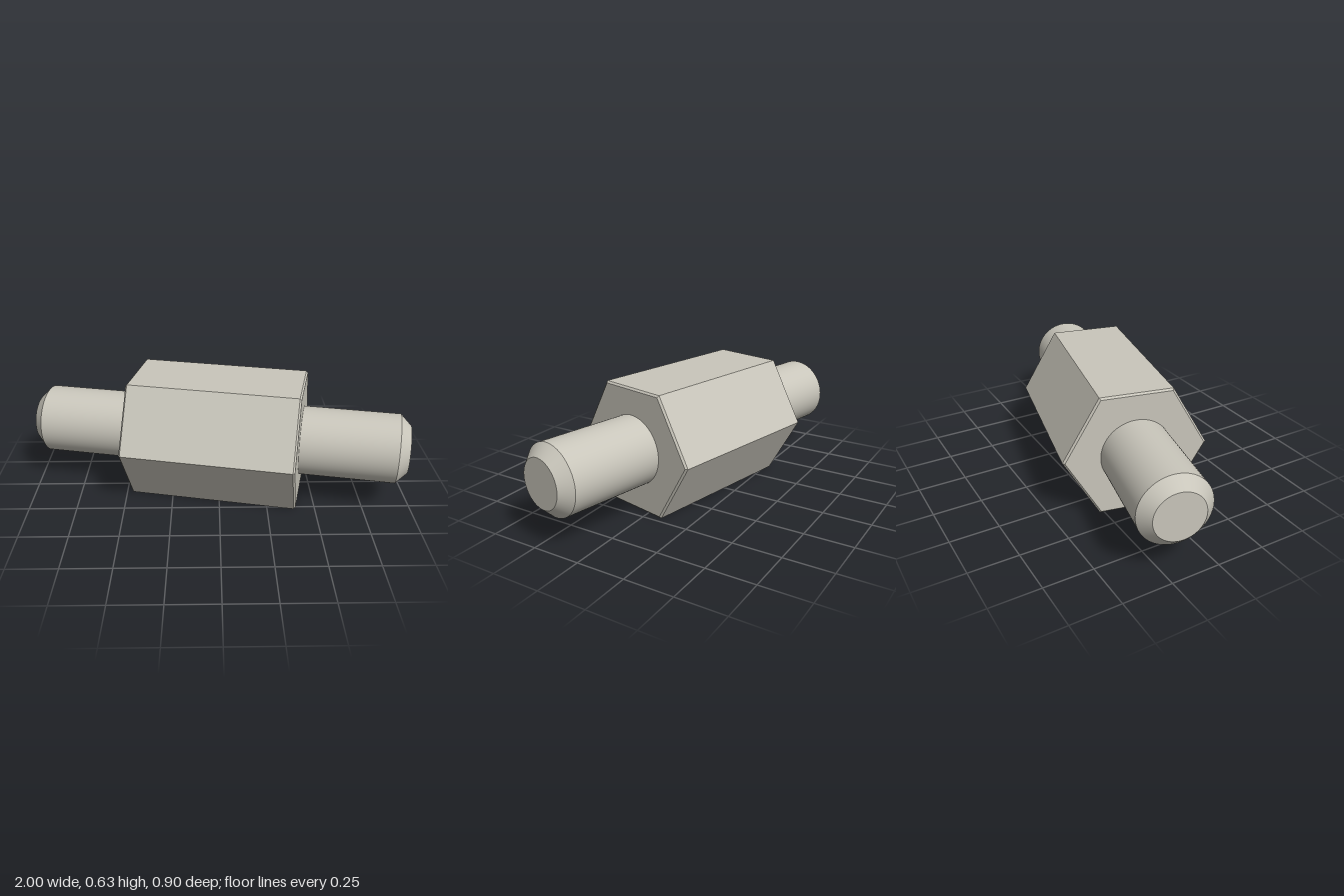
import * as THREE from 'three';
import { toCreasedNormals } from 'three/addons/utils/BufferGeometryUtils.js';

const CENTRE_Y = 0.3175;
const TILT = THREE.MathUtils.degToRad(12.1);

// Turn an [along axis, radius] profile around the x axis, keeping edges sharp
function turned(profile, sides) {
  const points = profile.map(([along, radius]) => new THREE.Vector2(radius, along));
  const geometry = new THREE.LatheGeometry(points, sides);
  geometry.rotateZ(-Math.PI / 2);
  return toCreasedNormals(geometry, Math.PI / 7);
}

export function createModel() {
  const model = new THREE.Group();
  model.name = 'hexStandoff';
  const metal = new THREE.MeshStandardMaterial({ color: 0xc9c6bb });
  metal.name = 'warm grey metal';

  const body = new THREE.Group();
  body.name = 'body';
  body.position.y = CENTRE_Y;
  body.rotation.y = -TILT;
  model.add(body);

  // Hexagonal middle with a small bevel at both ends
  const corner = CENTRE_Y / Math.cos(Math.PI / 6);
  const hex = new THREE.Mesh(turned([
    [-0.447, 0], [-0.447, corner - 0.011], [-0.438, corner],
    [0.438, corner], [0.447, corner - 0.011], [0.447, 0],
  ], 6), metal);
  hex.name = 'hexBody';
  body.add(hex);

  // Round pins with chamfered tips
  const pinGeometry = turned([[0.445, 0.18], [0.94, 0.18], [0.996, 0.124], [0.996, 0]], 64);
  for (const [name, turn] of [['leftPin', 0], ['rightPin', Math.PI]]) {
    const pin = new THREE.Mesh(pinGeometry, metal);
    pin.name = name;
    pin.rotation.y = turn;
    body.add(pin);
  }
  return model;
}
